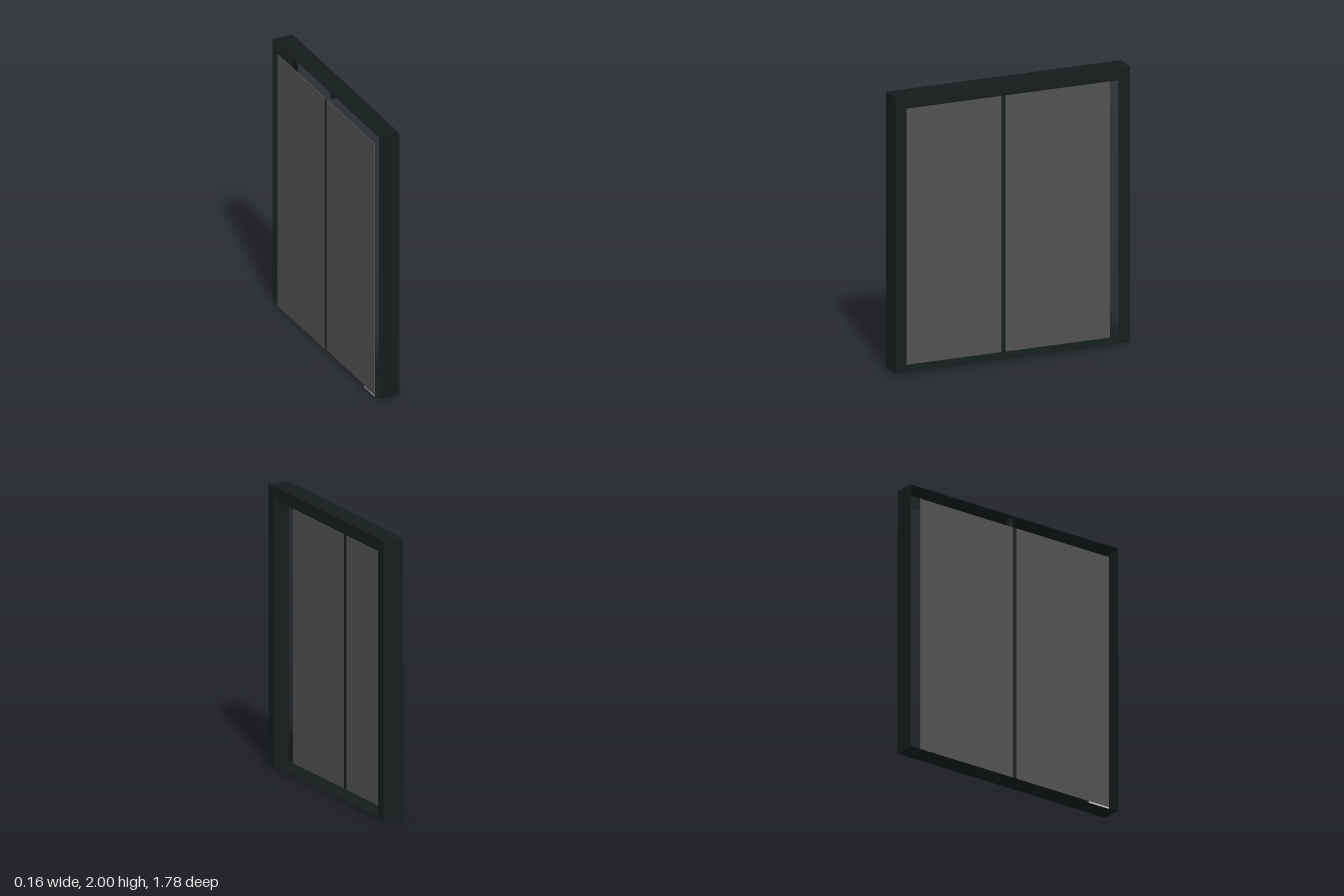
import * as THREE from 'three';

const HALF_X = 0.0775, HALF_Z = 0.888, BOTTOM = 0.01, TOP = 2;
const LIP = 0.085, SHEET = 0.004;

export function createModel() {
  const model = new THREE.Group();
  const frameMaterial = new THREE.MeshStandardMaterial({ color: 0x141c1b });
  const panelMaterial = new THREE.MeshStandardMaterial({ color: 0x505050 });
  const stripMaterial = new THREE.MeshStandardMaterial({ color: 0xcccccc });

  // Box given by its lower and upper corners
  const box = (name, material, min, max) => {
    const size = max.map((v, i) => v - min[i]);
    const mesh = new THREE.Mesh(new THREE.BoxGeometry(...size), material);
    mesh.position.set(...max.map((v, i) => (v + min[i]) / 2));
    mesh.name = name;
    model.add(mesh);
  };

  // Shallow sheet casing: top, sill and both sides
  box('frameTop', frameMaterial, [-HALF_X, TOP - SHEET, -HALF_Z], [HALF_X, TOP, HALF_Z]);
  box('frameSill', frameMaterial, [-HALF_X, BOTTOM, -HALF_Z], [HALF_X, BOTTOM + SHEET, HALF_Z]);
  for (const [side, s] of [['front', 1], ['back', -1]]) {
    const span = (a, b) => [Math.min(a * s, b * s), Math.max(a * s, b * s)];

    const [s0, s1] = span(HALF_Z - SHEET, HALF_Z);
    box(side + 'FrameSide', frameMaterial, [-HALF_X, BOTTOM, s0], [HALF_X, TOP, s1]);

    // Face border, only on the +x side
    const [l0, l1] = span(HALF_Z - LIP, HALF_Z);
    box(side + 'FaceBorder', frameMaterial, [HALF_X - SHEET, BOTTOM, l0], [HALF_X, TOP, l1]);

    // Door leaf, set at the -x edge of the casing
    const [p0, p1] = span(0.015, 0.805);
    box(side + 'Panel', panelMaterial, [-HALF_X, BOTTOM, p0], [-HALF_X + 0.006, 1.912, p1]);
  }
  box('topFaceBorder', frameMaterial,
    [HALF_X - SHEET, 1.91, -HALF_Z + LIP], [HALF_X, TOP, HALF_Z - LIP]);

  // Centre bar between the leaves, and the small stop hanging above it
  box('centreBar', frameMaterial, [-HALF_X, BOTTOM, -0.015], [-HALF_X + 0.007, 1.912, 0.015]);
  box('topStop', frameMaterial, [-0.035, 1.91, -0.015], [0, TOP, 0.015]);

  // Thin strip under one leaf
  box('bottomStrip', stripMaterial, [-HALF_X, 0, 0.635], [-HALF_X + 0.006, BOTTOM, 0.805]);

  return model;
}
